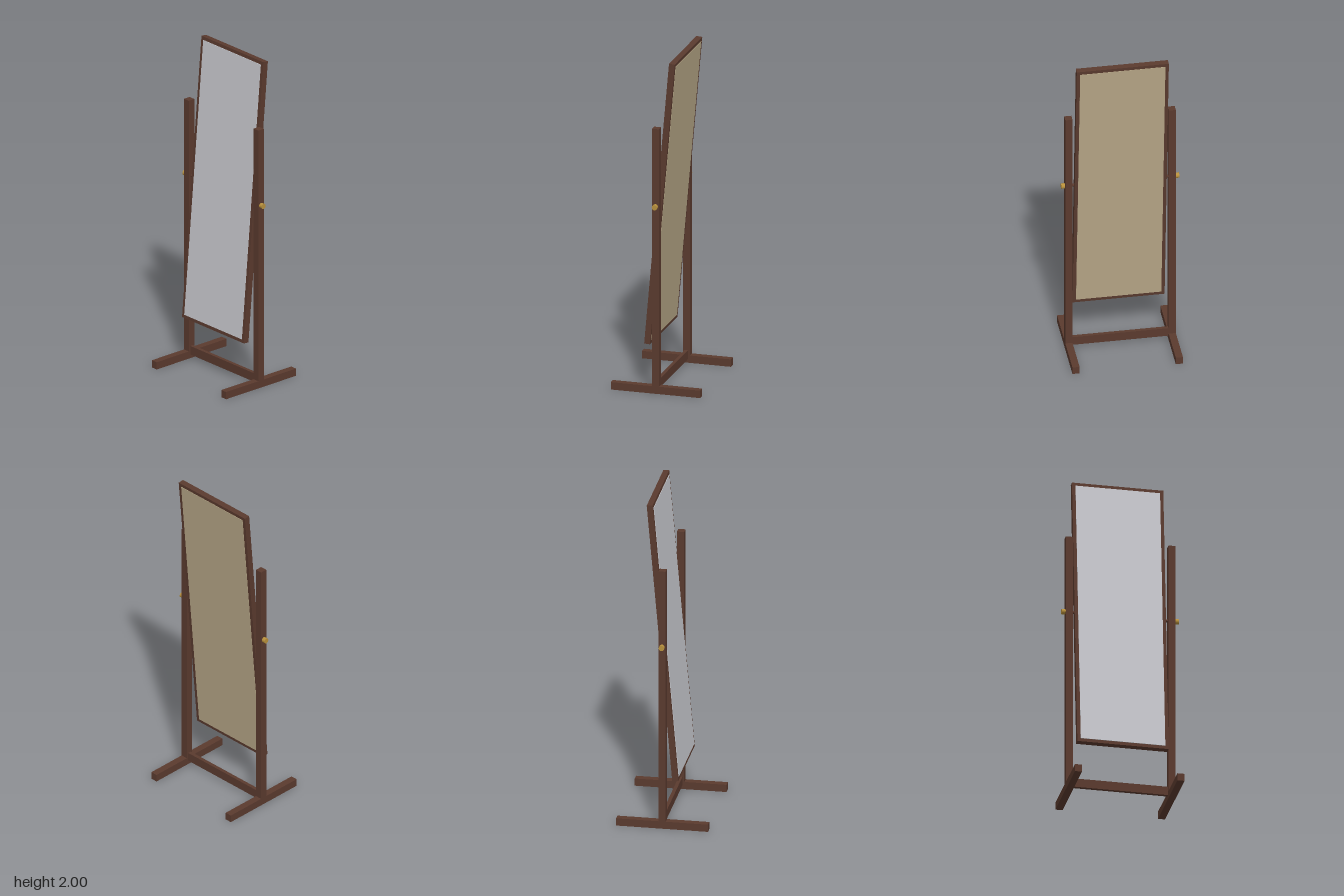
import * as THREE from 'three';

const mat = (name, color) => {
  const m = new THREE.MeshStandardMaterial({ color });
  m.name = name;
  return m;
};

export function createModel() {
  const wood = mat('walnut wood', 0x5a3a2e);
  const silver = mat('mirror silver', 0xc8c9ce);
  const board = mat('tan backing board', 0xb8a888);
  const brass = mat('brass', 0xb8903c);

  const model = new THREE.Group();
  model.name = 'standingMirror';

  const add = (parent, name, geometry, material, x, y, z) => {
    const mesh = new THREE.Mesh(geometry, material);
    mesh.name = name;
    mesh.position.set(x, y, z);
    parent.add(mesh);
    return mesh;
  };
  const box = (w, h, d) => new THREE.BoxGeometry(w, h, d);
  const rod = (r, length) => new THREE.CylinderGeometry(r, r, length, 16).rotateZ(Math.PI / 2);

  // Stand: a foot, post, pivot pin and knob on each side
  const pivotY = 1.139;
  for (const [side, s] of [['left', 1], ['right', -1]]) {
    add(model, side + 'Foot', box(0.042, 0.045, 0.54), wood, s * 0.303, 0.0225, 0);
    add(model, side + 'Post', box(0.042, 1.567, 0.042), wood, s * 0.303, 0.8285, 0);
    add(model, side + 'PivotPin', rod(0.008, 0.03), wood, s * 0.275, pivotY, 0);
    add(model, side + 'Knob', rod(0.016, 0.022), brass, s * 0.335, pivotY, 0);
  }
  add(model, 'crossbar', box(0.564, 0.053, 0.021), wood, 0, 0.05, 0);

  // Tilting mirror, leaning back by five degrees
  const W = 0.54, H = 1.724, D = 0.035, rim = 0.02;
  const mirror = new THREE.Group();
  mirror.name = 'tiltingMirror';
  mirror.position.set(0, pivotY, -0.0075);
  mirror.rotation.x = -THREE.MathUtils.degToRad(5);
  model.add(mirror);

  // Frame: a rectangle with a rectangular opening
  const rectangle = (path, w, h) => path
    .moveTo(-w / 2, -h / 2).lineTo(w / 2, -h / 2)
    .lineTo(w / 2, h / 2).lineTo(-w / 2, h / 2).closePath();
  const outline = new THREE.Shape();
  rectangle(outline, W, H);
  const opening = new THREE.Path();
  rectangle(opening, W - 2 * rim, H - 2 * rim);
  outline.holes.push(opening);
  const frame = new THREE.ExtrudeGeometry(outline, { depth: D, bevelEnabled: false });
  add(mirror, 'frame', frame.translate(0, 0, -D / 2), wood, 0, 0, 0);

  // Glass and backing stand slightly proud of the frame
  add(mirror, 'glass', box(W - 2 * rim, H - 2 * rim, 0.0205), silver, 0, 0, 0.01025);
  add(mirror, 'backing', box(W - 2 * rim, H - 2 * rim, 0.0195), board, 0, 0, -0.00975);

  return model;
}
